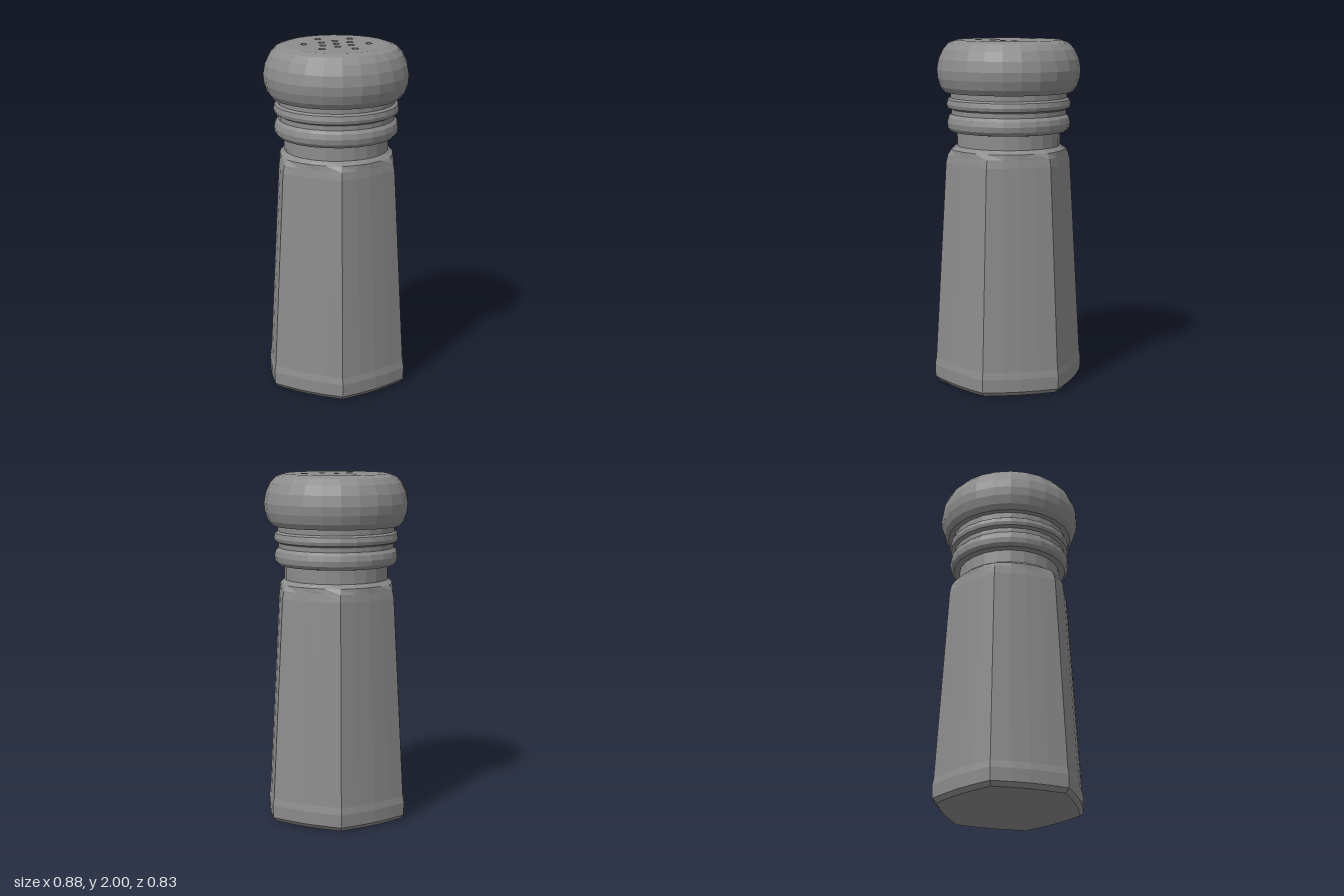
import * as THREE from 'three';

const SIDES = 24;

export function createModel() {
  const model = new THREE.Group();
  const grey = new THREE.MeshStandardMaterial({ color: 0x8c8c8c, flatShading: true });
  grey.name = 'grey';

  const add = (name, geometry) => {
    const mesh = new THREE.Mesh(geometry, grey);
    mesh.name = name;
    model.add(mesh);
    return mesh;
  };
  // Profiles are [radius, height] pairs running from bottom to top
  const lathe = (profile) =>
    new THREE.LatheGeometry(profile.map(([r, y]) => new THREE.Vector2(r, y)), SIDES);

  // Tapered body: a lathe pressed into a six-sided section with slightly bowed faces
  const body = lathe([
    [0, 0], [0.415, 0], [0.438, 0.025], [0.441, 0.1], [0.433, 0.14],
    [0.366, 1.3], [0.356, 1.345], [0.337, 1.375], [0.305, 1.395], [0.28, 1.4],
  ]);
  const pos = body.attributes.position;
  for (let i = 0; i < pos.count; i++) {
    const x = pos.getX(i), y = pos.getY(i), z = pos.getZ(i);
    const sixth = Math.PI / 3;
    const turn = (Math.atan2(z, x) + 2 * Math.PI + 1e-6) % sixth;
    const d = turn - sixth / 2; // angle from the middle of the face
    const bow = 0.042 * (1 - (d / (sixth / 2)) ** 2);
    const hex = Math.cos(sixth / 2) / Math.cos(d) + bow;
    const round = THREE.MathUtils.clamp((y - 1.34) / 0.055, 0, 1); // shoulder blends to a circle
    const k = THREE.MathUtils.lerp(hex, 1, round);
    pos.setXYZ(i, x * k, y, z * k);
  }
  body.computeVertexNormals();
  add('body', body);

  // Neck with two raised collars
  add('neck', lathe([
    [0.3, 1.37], [0.3, 1.475], [0.335, 1.48], [0.352, 1.5], [0.357, 1.53],
    [0.35, 1.56], [0.333, 1.578], [0.333, 1.605], [0.354, 1.615], [0.36, 1.635],
    [0.354, 1.662], [0.338, 1.672], [0.338, 1.72],
  ]));

  // Rounded cap, with its flat top left open for the pierced plate
  add('cap', lathe([
    [0.33, 1.705], [0.37, 1.705], [0.393, 1.735], [0.41, 1.785], [0.415, 1.835],
    [0.404, 1.895], [0.378, 1.95], [0.345, 1.985], [0.3, 2],
  ]));

  // Top plate with thirteen holes: one in the centre and two rings of six
  const circle = (Type, cx, cy, r, n) => new Type(
    Array.from({ length: n }, (_, i) => {
      const a = (i / n) * Math.PI * 2;
      return new THREE.Vector2(cx + r * Math.cos(a), cy + r * Math.sin(a));
    }));
  const plate = circle(THREE.Shape, 0, 0, 0.3, SIDES);
  const addHole = (r, a) => plate.holes.push(
    circle(THREE.Path, r * Math.cos(a), r * Math.sin(a), 0.02, 8));
  addHole(0, 0);
  for (let i = 0; i < 6; i++) {
    addHole(0.092, (i * Math.PI) / 3);
    addHole(0.184, (i * Math.PI) / 3 + Math.PI / 6);
  }
  const plateGeometry = new THREE.ExtrudeGeometry(plate, { depth: 0.02, bevelEnabled: false });
  plateGeometry.rotateX(-Math.PI / 2).translate(0, 1.98, 0);
  add('piercedTop', plateGeometry);

  // Floor seen through the holes
  const floor = new THREE.CircleGeometry(0.28, SIDES);
  floor.rotateX(-Math.PI / 2).translate(0, 1.978, 0);
  add('holeFloor', floor);

  return model;
}
